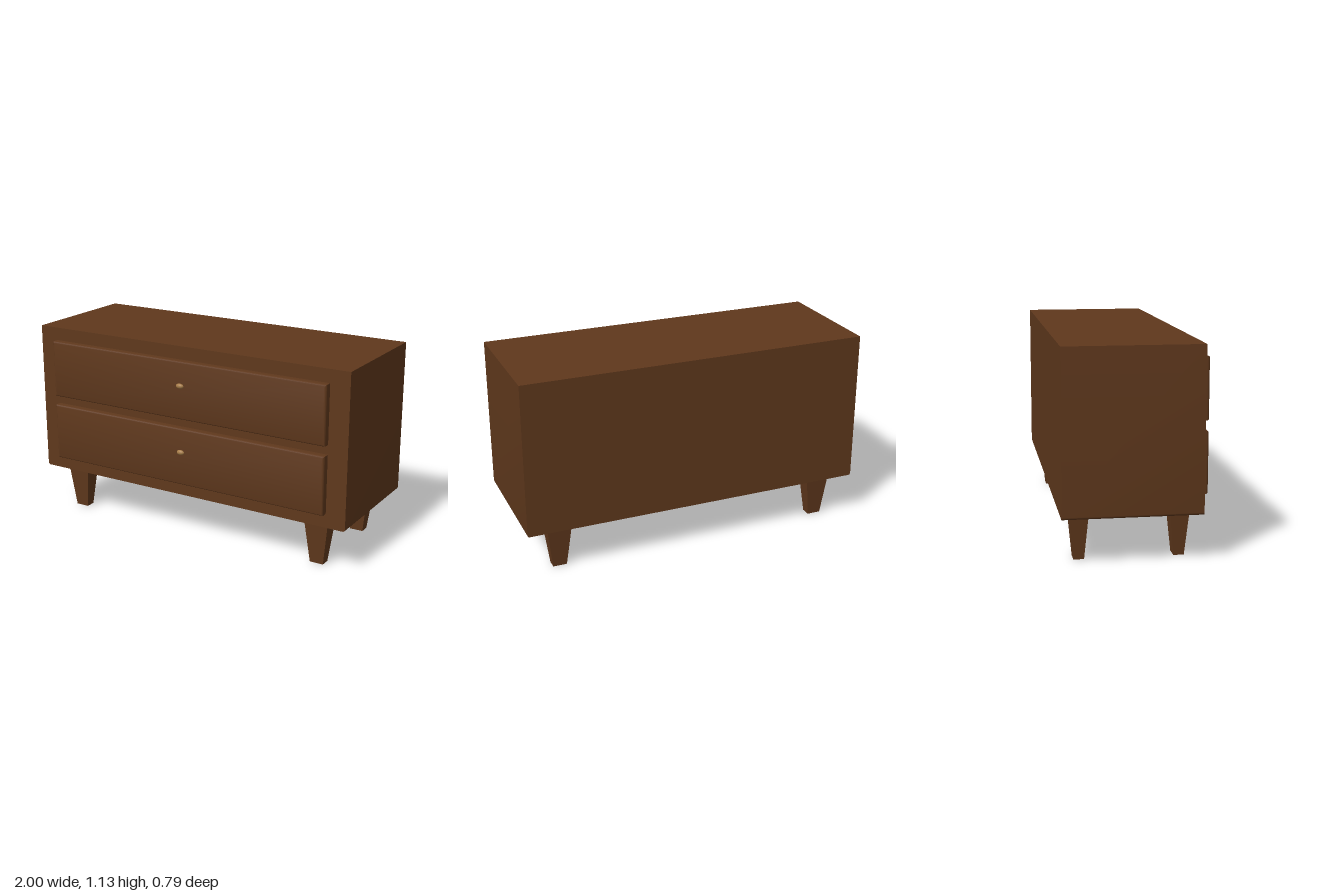
import * as THREE from 'three';
import { toCreasedNormals } from 'three/addons/utils/BufferGeometryUtils.js';

const wood = new THREE.MeshStandardMaterial({ color: 0x5f381c });
const legWood = new THREE.MeshStandardMaterial({ color: 0x5f381c, flatShading: true });
const brass = new THREE.MeshStandardMaterial({ color: 0xa67c48 });

function part(name, geometry, material, x, y, z) {
  const mesh = new THREE.Mesh(geometry, material);
  mesh.name = name;
  mesh.position.set(x, y, z);
  return mesh;
}

// Rectangle from -w/2..w/2 and 0..h with its bottom corners rounded by r
function panelShape(w, h, r) {
  const s = new THREE.Shape();
  s.moveTo(-w / 2, h);
  s.lineTo(-w / 2, r);
  s.quadraticCurveTo(-w / 2, 0, -w / 2 + r, 0);
  s.lineTo(w / 2 - r, 0);
  s.quadraticCurveTo(w / 2, 0, w / 2, r);
  s.lineTo(w / 2, h);
  s.closePath();
  return s;
}

// Cabinet body, slightly rounded along the lower side edges
function bodyGeometry() {
  const g = new THREE.ExtrudeGeometry(panelShape(2, 0.875, 0.014), {
    depth: 0.73, bevelEnabled: false, curveSegments: 4,
  });
  return toCreasedNormals(g, 0.6);
}

// Drawer front with softened outer edges; its back sits inside the body
function drawerGeometry(w, h, depth, r) {
  const s = new THREE.Shape();
  const x = w / 2 - r, y = h / 2 - r;
  s.moveTo(-x, -y);
  s.lineTo(x, -y);
  s.lineTo(x, y);
  s.lineTo(-x, y);
  s.closePath();
  const g = new THREE.ExtrudeGeometry(s, {
    depth: depth - 2 * r, bevelThickness: r, bevelSize: r, bevelSegments: 4,
  });
  g.translate(0, 0, r - depth);
  return toCreasedNormals(g, 0.6);
}

// Four-sided leg tapering towards the floor
function legGeometry() {
  const g = new THREE.CylinderGeometry(Math.SQRT1_2, Math.SQRT1_2 * 0.552, 0.26, 4);
  g.rotateY(Math.PI / 4);
  g.scale(0.144, 1, 0.102);
  return g;
}

export function createModel() {
  const model = new THREE.Group();
  model.name = 'lowChest';

  model.add(part('body', bodyGeometry(), wood, 0, 0.255, -0.393));

  // Two drawers, each with a small oval knob
  const drawer = drawerGeometry(1.772, 0.333, 0.08, 0.012);
  const knob = new THREE.SphereGeometry(1, 24, 16);
  knob.scale(0.024, 0.015, 0.015);
  [['lower', 0.5015], ['upper', 0.8885]].forEach(([level, y]) => {
    model.add(part(level + 'Drawer', drawer, wood, 0, y, 0.381));
    model.add(part(level + 'Knob', knob, brass, 0, y + 0.028, 0.38));
  });

  // Four legs
  const leg = legGeometry();
  for (const [side, x] of [['Right', -0.806], ['Left', 0.806]]) {
    for (const [end, z] of [['front', 0.237], ['back', -0.291]]) {
      model.add(part(end + side + 'Leg', leg, legWood, x, 0.13, z));
    }
  }
  return model;
}
